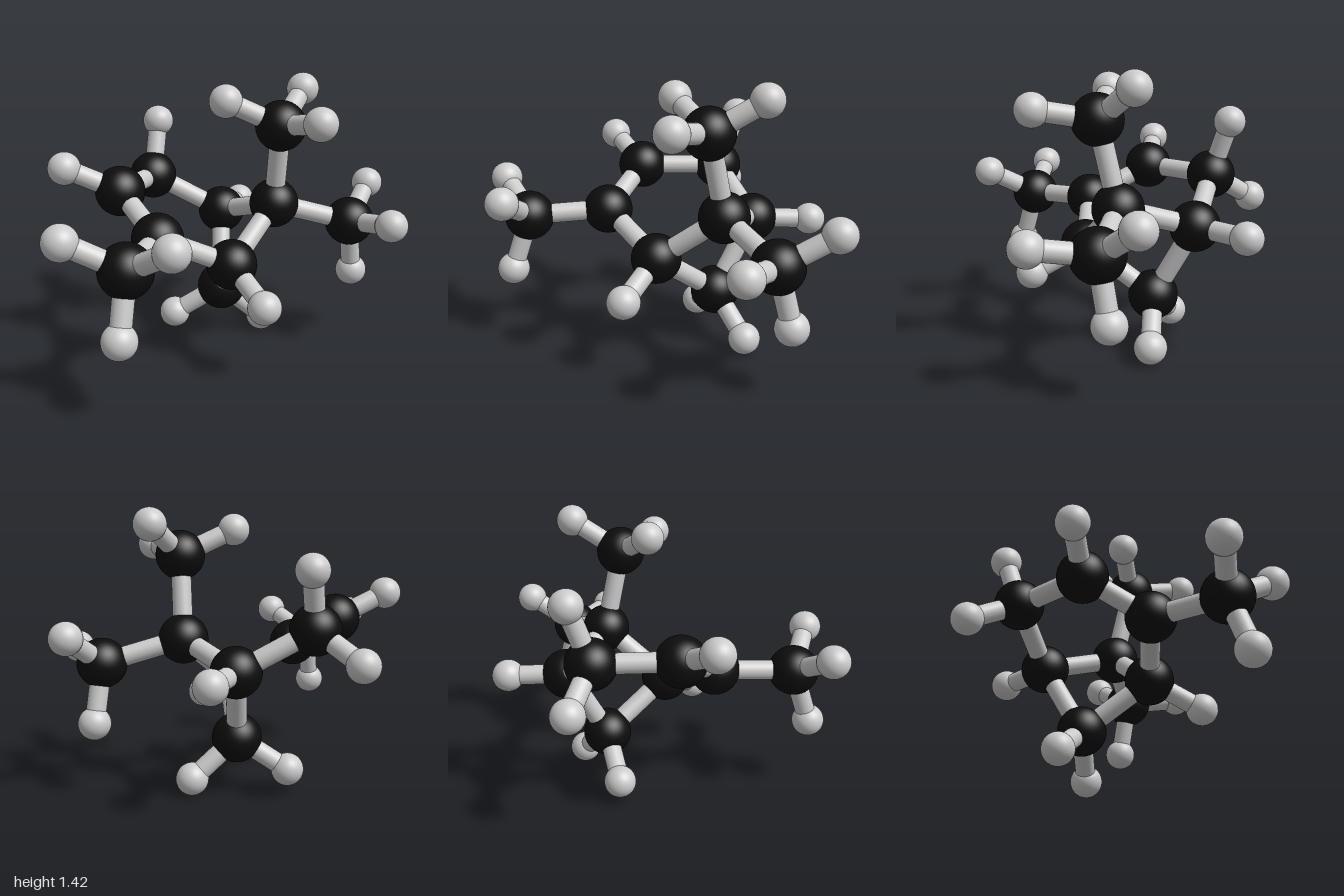
import * as THREE from 'three';

// Dark atoms: position, indices of dark atoms bonded to it, positions of its light atoms
const ATOMS = [
  { name: 'leftMethyl', at: [-0.67, 0.68, 0.425], bonds: [1],
    light: [[-0.918, 0.82, 0.323], [-0.742, 0.395, 0.49], [-0.593, 0.82, 0.685]] },
  { name: 'ringFrontLeft', at: [-0.368, 0.695, 0.158], bonds: [2, 6], light: [] },
  { name: 'ringBackLeft', at: [-0.39, 0.858, -0.178], bonds: [3], light: [[-0.641, 0.984, -0.275]] },
  { name: 'ringBack', at: [-0.062, 0.848, -0.434], bonds: [4],
    light: [[0.014, 1.13, -0.505], [-0.139, 0.706, -0.687]] },
  { name: 'ringBackRight', at: [0.26, 0.65, -0.246], bonds: [5, 7], light: [[0.503, 0.637, -0.422]] },
  { name: 'lowerBridge', at: [0.144, 0.28, -0.068], bonds: [6],
    light: [[-0.059, 0.118, -0.22], [0.363, 0.084, 0.002]] },
  { name: 'ringFront', at: [-0.005, 0.525, 0.249], bonds: [7], light: [[-0.004, 0.392, 0.523]] },
  { name: 'upperBridge', at: [0.321, 0.768, 0.15], bonds: [8, 9], light: [] },
  { name: 'topMethyl', at: [0.285, 1.183, 0.237], bonds: [],
    light: [[0.032, 1.309, 0.131], [0.513, 1.336, 0.117], [0.283, 1.233, 0.537]] },
  { name: 'rightMethyl', at: [0.69, 0.655, 0.319], bonds: [],
    light: [[0.918, 0.808, 0.198], [0.753, 0.362, 0.284], [0.694, 0.702, 0.617]] },
];

const DARK_RADIUS = 0.125, LIGHT_RADIUS = 0.082, BOND_RADIUS = 0.05;

export function createModel() {
  const model = new THREE.Group();
  model.name = 'molecule';

  const grey = new THREE.MeshStandardMaterial({ color: 0xcccccc });
  const black = new THREE.MeshStandardMaterial({ color: 0x0d0d0d });
  const darkBall = new THREE.SphereGeometry(DARK_RADIUS, 40, 28);
  const lightBall = new THREE.SphereGeometry(LIGHT_RADIUS, 32, 22);
  const rod = new THREE.CylinderGeometry(BOND_RADIUS, BOND_RADIUS, 1, 28, 1, true);
  const up = new THREE.Vector3(0, 1, 0);

  const addBall = (parent, name, geometry, material, at) => {
    const ball = new THREE.Mesh(geometry, material);
    ball.name = name;
    ball.position.set(...at);
    parent.add(ball);
  };

  // Rod stretched between two atom centres
  const addBond = (parent, name, from, to) => {
    const a = new THREE.Vector3(...from);
    const b = new THREE.Vector3(...to);
    const span = b.clone().sub(a);
    const bond = new THREE.Mesh(rod, grey);
    bond.name = name;
    bond.position.copy(a).add(b).multiplyScalar(0.5);
    bond.scale.y = span.length();
    bond.quaternion.setFromUnitVectors(up, span.normalize());
    parent.add(bond);
  };

  // Each dark atom with its light atoms and the bonds leaving it
  for (const { name, at, bonds, light } of ATOMS) {
    const group = new THREE.Group();
    group.name = name;
    addBall(group, 'darkAtom', darkBall, black, at);
    for (const end of light) {
      addBall(group, 'lightAtom', lightBall, grey, end);
      addBond(group, 'lightBond', at, end);
    }
    for (const i of bonds) addBond(group, 'frameBond', at, ATOMS[i].at);
    model.add(group);
  }
  return model;
}
